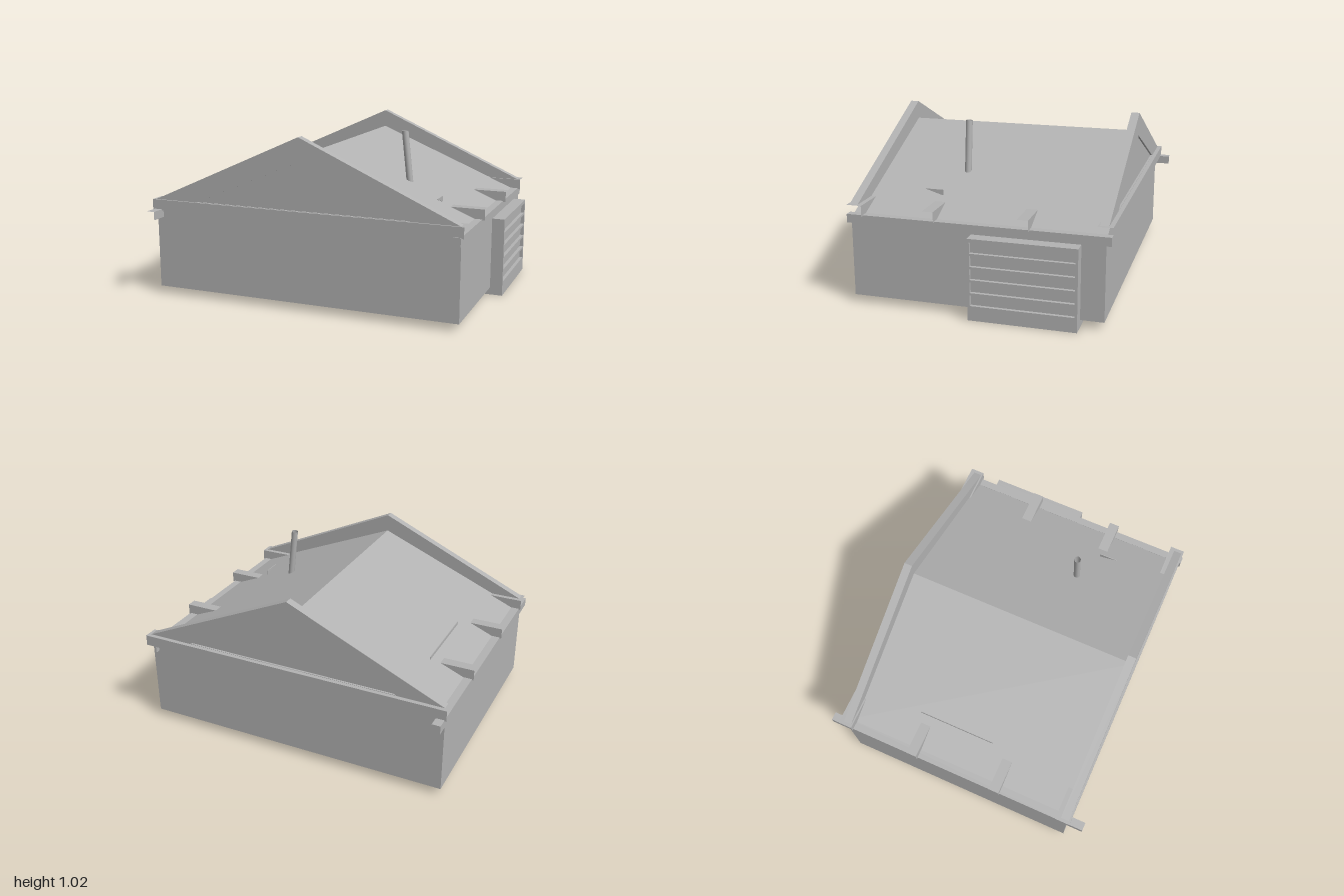
import * as THREE from 'three';

const grey = new THREE.MeshStandardMaterial({ color: 0xb2b2b2 });
grey.name = 'plain grey';
const greyThin = grey.clone();
greyThin.side = THREE.DoubleSide;

export function createModel() {
  const model = new THREE.Group();
  model.name = 'gabledBuilding';

  const add = (name, geometry, material = grey) => {
    const mesh = new THREE.Mesh(geometry, material);
    mesh.name = name;
    model.add(mesh);
    return mesh;
  };
  // Box from its limits; faces listed in skip (0..5: +x -x +y -y +z -z) are left open
  const box = (name, x0, x1, y0, y1, z0, z1, skip = []) => {
    const g = new THREE.BoxGeometry(x1 - x0, y1 - y0, z1 - z0);
    g.translate((x0 + x1) / 2, (y0 + y1) / 2, (z0 + z1) / 2);
    g.setIndex([...g.index.array].filter((_, i) => !skip.includes(Math.floor(i / 6))));
    g.clearGroups();
    return add(name, g);
  };
  const outline = (points) => new THREE.Shape(points.map(([x, y]) => new THREE.Vector2(x, y)));
  const extrude = (shape, depth) => new THREE.ExtrudeGeometry(shape, { depth, bevelEnabled: false, curveSegments: 12 });

  // Walls and pitched roof in one profile
  const hall = extrude(outline([
    [-0.98, 0.045], [0.92, 0.045], [0.92, 0.53], [0.88, 0.535],
    [-0.03, 0.912], [-0.94, 0.535], [-0.98, 0.53],
  ]), 1.475);
  add('wallsAndRoof', hall.translate(0, 0, -0.74));

  // Raised gables, each with a shallow triangular recess
  for (const [name, z] of [['frontGable', 0.694], ['backGable', -0.752]]) {
    const gable = outline([[-0.98, 0.595], [0.92, 0.595], [-0.03, 1.022]]);
    gable.holes.push(outline([[-0.7, 0.597], [-0.03, 0.88], [0.64, 0.597]]));
    add(name, extrude(gable, 0.05).translate(0, 0, z));
  }

  // Hollow cross beams that come out of the roof at the eaves
  for (const [z0, z1] of [[-0.778, -0.693], [-0.315, -0.252], [0.232, 0.295], [0.665, 0.755]]) {
    box('crossBeam', -1, 0.94, 0.53, 0.595, z0, z1, [0, 1]);
  }

  // Hollow eave beams along the sides
  box('rightEaveBeam', -0.99, -0.94, 0.485, 0.536, -0.842, 0.838, [4, 5]);
  box('leftEaveBeam', 0.88, 0.925, 0.485, 0.536, -0.77, 0.763, [4, 5]);

  // Shutter housing with five slots
  box('shutterHousing', 0.845, 0.975, 0, 0.48, -0.605, 0.018);
  const frame = outline([[-0.018, 0], [0.605, 0], [0.605, 0.48], [-0.018, 0.48]]);
  for (let i = 0; i < 5; i++) {
    const y = 0.087 + i * 0.077;
    frame.holes.push(outline([[-0.004, y], [-0.004, y + 0.064], [0.59, y + 0.064], [0.59, y]]));
  }
  add('shutterFrame', extrude(frame, 0.021).rotateY(Math.PI / 2).translate(0.975, 0, 0));

  // Leaning chimney pipe
  const foot = new THREE.Vector3(0.454, 0.67, 0.19);
  const top = new THREE.Vector3(0.416, 1.013, 0.19);
  const pipe = add('chimneyPipe', new THREE.CylinderGeometry(0.02, 0.02, foot.distanceTo(top), 16, 1, true), greyThin);
  pipe.position.copy(foot).lerp(top, 0.5);
  pipe.quaternion.setFromUnitVectors(new THREE.Vector3(0, 1, 0), top.clone().sub(foot).normalize());

  // Thin upright fins on the roof slopes
  const fin = extrude(outline([[-0.38, 0.65], [-0.265, 0.615], [-0.265, 0.65]]), 0.004);
  add('leftRoofFin', fin.rotateY(Math.PI / 2).translate(0.675, 0, 0));
  box('rightRoofFin', -0.742, -0.738, 0.6, 0.635, -0.34, 0.14);

  // Underside: ring feet, hatch plate and studs
  for (const [x, z] of [[0.56, 0.272], [-0.612, -0.27]]) {
    const ring = new THREE.Shape().absarc(0, 0, 0.022, 0, Math.PI * 2);
    ring.holes.push(new THREE.Path().absarc(0, 0, 0.01, 0, Math.PI * 2, true));
    add('ringFoot', extrude(ring, 0.03).rotateX(-Math.PI / 2).translate(x, 0.018, z));
  }
  box('floorHatch', -0.145, 0.335, 0.039, 0.046, -0.73, -0.51);
  for (const x of [-0.27, -0.51]) {
    for (const z of [-0.545, -0.04]) {
      add('floorStud', new THREE.CylinderGeometry(0.012, 0.012, 0.008, 10).translate(x, 0.043, z));
    }
  }
  return model;
}
